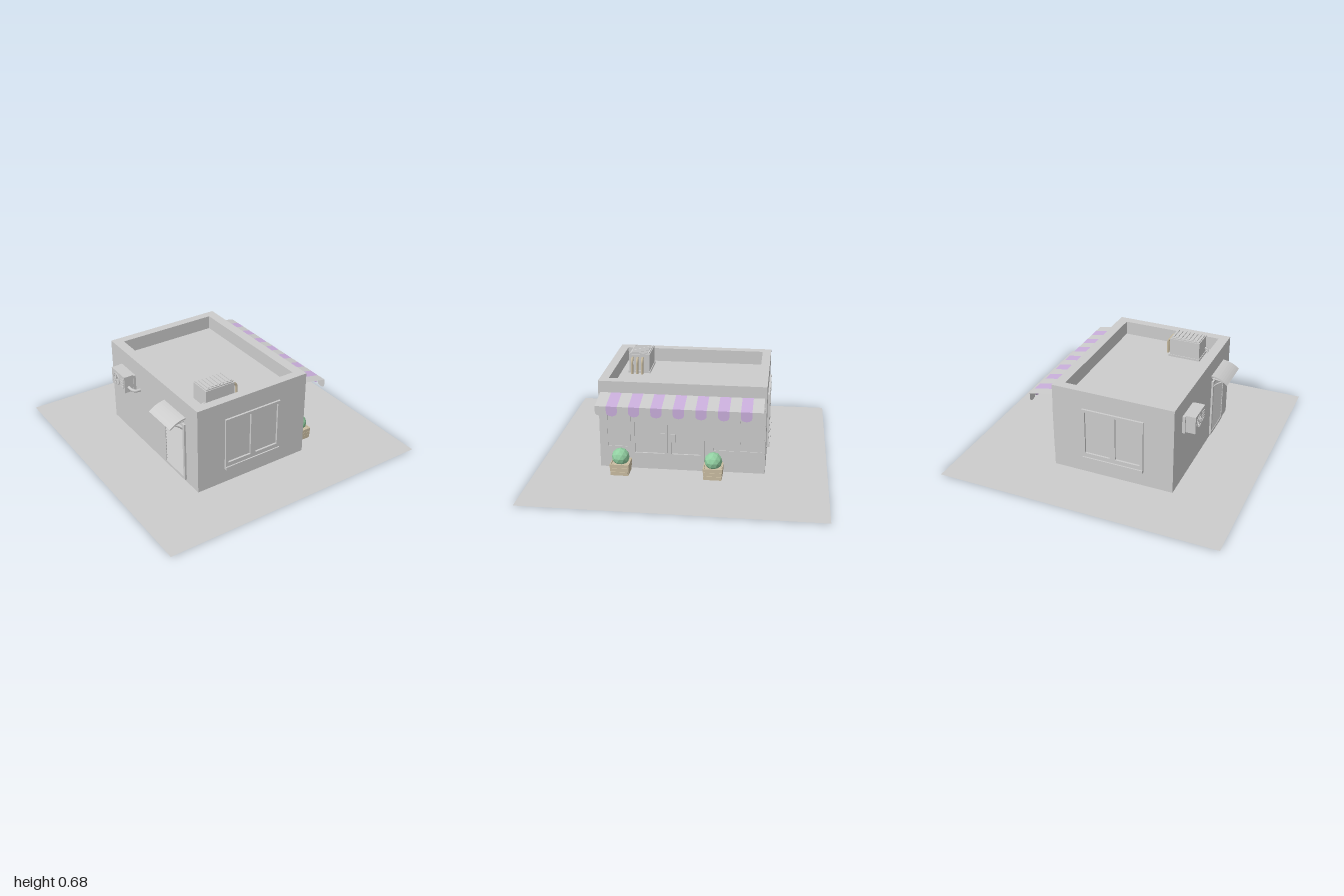
import * as THREE from 'three';

export function createModel() {
  const model = new THREE.Group();
  const mat = (name, color, side = THREE.FrontSide) => {
    const m = new THREE.MeshStandardMaterial({ color, side });
    m.name = name;
    return m;
  };
  const grey = mat('plaster grey', 0xcccccc, THREE.DoubleSide);
  const purple = mat('awning purple', 0xc9aedb, THREE.DoubleSide);
  const green = mat('leaf green', 0x92d0a2);
  green.flatShading = true;
  const tan = mat('planter tan', 0xcabda2);

  const add = (name, geo, m, parent = model) => {
    const mesh = new THREE.Mesh(geo, m);
    mesh.name = name;
    parent.add(mesh);
    return mesh;
  };
  // Box given by its limits on each axis
  const box = (name, m, [x0, x1], [y0, y1], [z0, z1], parent) => {
    const b = add(name, new THREE.BoxGeometry(x1 - x0, y1 - y0, z1 - z0), m, parent);
    b.position.set((x0 + x1) / 2, (y0 + y1) / 2, (z0 + z1) / 2);
    return b;
  };
  const rect = (T, u0, u1, v0, v1) => new T([
    new THREE.Vector2(u0, v0), new THREE.Vector2(u1, v0),
    new THREE.Vector2(u1, v1), new THREE.Vector2(u0, v1)]);
  // Flat frame with rectangular openings, extruded along +z
  const frameGeo = (outer, holes, depth) => {
    const s = rect(THREE.Shape, ...outer);
    holes.forEach(h => s.holes.push(rect(THREE.Path, ...h)));
    return new THREE.ExtrudeGeometry(s, { depth, bevelEnabled: false });
  };
  const tube = (name, pts, r, m, parent) => add(name, new THREE.TubeGeometry(
    new THREE.CatmullRomCurve3(pts.map(p => new THREE.Vector3(...p))), 12, r, 8), m, parent);

  // Ground
  add('ground', new THREE.PlaneGeometry(2, 2).rotateX(-Math.PI / 2), grey);

  // Building with sunken roof
  const X0 = -0.53, X1 = 0.34, Z = 0.572, H = 0.63, ROOF = 0.53;
  box('walls', grey, [X0, X1], [0.001, ROOF], [-Z, Z]);
  const parapet = frameGeo([X0, X1, -Z, Z], [[-0.46, 0.27, -0.51, 0.51]], H - ROOF);
  add('parapet', parapet.rotateX(-Math.PI / 2), grey).position.y = ROOF;

  // Side windows, one on each end wall
  for (const s of [1, -1]) {
    const win = new THREE.Group();
    win.name = s > 0 ? 'frontWindow' : 'backWindow';
    const geo = frameGeo([-0.22, 0.22, 0.13, 0.5],
      [[-0.2, -0.02, 0.16, 0.48], [0.02, 0.2, 0.16, 0.48]], 0.014);
    add('windowFrame', geo, grey, win);
    box('windowSill', grey, [-0.22, 0.22], [0.107, 0.13], [0, 0.023], win);
    win.position.set(-0.1, 0, s * Z);
    win.rotation.y = s > 0 ? 0 : Math.PI;
    model.add(win);
  }

  // Shop front: local x runs towards -z, local z points out of the wall
  const shop = new THREE.Group();
  shop.name = 'shopFront';
  shop.position.x = X1;
  shop.rotation.y = Math.PI / 2;
  model.add(shop);
  add('displayWindowLeft', frameGeo([-0.54, -0.355, 0.14, 0.48],
    [[-0.515, -0.38, 0.16, 0.46]], 0.006), grey, shop);
  add('displayWindowRight', frameGeo([0.2, 0.565, 0.14, 0.48],
    [[0.22, 0.36, 0.16, 0.46], [0.4, 0.55, 0.16, 0.46]], 0.006), grey, shop);
  add('doorLeft', frameGeo([-0.345, -0.097, 0.004, 0.48],
    [[-0.325, -0.12, 0.12, 0.46]], 0.012), grey, shop);
  add('doorRight', frameGeo([-0.093, 0.155, 0.004, 0.48],
    [[-0.07, 0.13, 0.12, 0.46]], 0.012), grey, shop);
  for (const u of [-0.13, -0.06])
    box('doorHandle', grey, [u - 0.016, u + 0.016], [0.21, 0.27], [0.01, 0.021], shop);

  // Striped awning with a scalloped valance
  const awning = new THREE.Group();
  awning.name = 'awning';
  model.add(awning);
  const N = 15, W = 1.116 / N, OUT = 0.18, TOP = 0.55, LIP = 0.515;
  const scallop = new THREE.Shape();
  scallop.moveTo(-W / 2, LIP);
  scallop.lineTo(-W / 2, 0.475);
  scallop.bezierCurveTo(-W / 2, 0.438, W / 2, 0.438, W / 2, 0.475);
  scallop.lineTo(W / 2, LIP);
  const valance = new THREE.ShapeGeometry(scallop, 8).rotateY(Math.PI / 2);
  const slope = new THREE.PlaneGeometry(Math.hypot(OUT, TOP - LIP), W)
    .rotateX(-Math.PI / 2).rotateZ(-Math.atan2(TOP - LIP, OUT));
  for (let i = 0; i < N; i++) {
    const m = i % 2 ? purple : grey, z = (i - (N - 1) / 2) * W;
    add('awningStripe', slope, m, awning).position.set(X1 + OUT / 2, (TOP + LIP) / 2, z);
    add('awningScallop', valance, m, awning).position.set(X1 + OUT, 0, z);
  }

  // Planters with clipped bushes
  for (const z of [0.412, -0.225]) {
    const p = new THREE.Group();
    p.name = 'planter';
    p.position.set(0.426, 0, z);
    model.add(p);
    add('planterCore', new THREE.CylinderGeometry(0.08, 0.074, 0.076, 4)
      .rotateY(Math.PI / 4), tan, p).position.y = 0.04;
    for (let i = 0; i < 3; i++) {
      const r = 0.058 + i * 0.002, y = 0.002 + i * 0.028;
      for (const s of [1, -1]) {
        box('planterSlat', tan, [-r, r], [y, y + 0.025], [s * r - 0.004, s * r + 0.004], p);
        box('planterSlat', tan, [s * r - 0.004, s * r + 0.004], [y, y + 0.025], [-r, r], p);
      }
    }
    add('bush', new THREE.IcosahedronGeometry(0.061, 1), green, p).position.y = 0.118;
  }

  // Rooftop unit with louvred top and bent pipes
  const unit = new THREE.Group();
  unit.name = 'roofUnit';
  model.add(unit);
  box('unitBase', grey, [-0.39, -0.155], [ROOF, ROOF + 0.015], [0.295, 0.455], unit);
  box('unitBody', grey, [-0.385, -0.162], [ROOF + 0.015, 0.668], [0.3, 0.45], unit);
  box('unitLid', grey, [-0.378, -0.169], [0.668, 0.676], [0.306, 0.444], unit);
  for (let i = 0; i < 7; i++) {
    const x = -0.36 + i * 0.029;
    box('unitLouvre', grey, [x, x + 0.014], [0.676, 0.682], [0.315, 0.435], unit);
  }
  for (const z of [0.35, 0.387, 0.424])
    tube('unitPipe', [[-0.17, 0.642, z], [-0.148, 0.642, z], [-0.133, 0.625, z],
      [-0.13, 0.59, z], [-0.13, ROOF, z]], 0.009, tan, unit);
  tube('unitDrain', [[-0.38, 0.575, 0.433], [-0.4, 0.573, 0.433],
    [-0.41, 0.56, 0.433], [-0.41, ROOF, 0.433]], 0.007, grey, unit);

  // Wall unit with fan ring and hose
  const ac = new THREE.Group();
  ac.name = 'wallUnit';
  model.add(ac);
  box('wallUnitBracket', grey, [-0.55, X0], [0.385, 0.51], [-0.425, -0.225], ac);
  box('wallUnitBody', grey, [-0.618, -0.545], [0.39, 0.515], [-0.413, -0.23], ac);
  const fan = new THREE.TorusGeometry(0.042, 0.005, 6, 20).rotateY(Math.PI / 2);
  add('fanRing', fan, grey, ac).position.set(-0.619, 0.452, -0.345);
  for (let i = 0; i < 4; i++) {
    const bar = box('fanBar', grey, [-0.623, -0.618], [0.41, 0.494], [-0.347, -0.343], ac);
    bar.rotation.x = i * Math.PI / 4;
  }
  for (let i = 0; i < 4; i++)
    box('wallUnitVent', grey, [-0.622, -0.618], [0.42 + i * 0.02, 0.43 + i * 0.02], [-0.285, -0.245], ac);
  tube('wallUnitHose', [[-0.585, 0.43, -0.235], [-0.583, 0.425, -0.2],
    [-0.565, 0.42, -0.175], [-0.525, 0.42, -0.168]], 0.011, grey, ac);

  // Louvred back door
  const door = new THREE.Group();
  door.name = 'backDoor';
  model.add(door);
  add('backDoorFrame', frameGeo([0.17, 0.43, 0.02, 0.46], [[0.19, 0.41, 0.04, 0.44]], 0.014)
    .rotateY(-Math.PI / 2), grey, door).position.x = X0;
  for (let i = 0; i < 16; i++) {
    const y = 0.042 + i * 0.025;
    const slat = box('backDoorSlat', grey, [-0.538, -0.534], [y, y + 0.024], [0.19, 0.41], door);
    slat.rotation.z = -0.35;
  }

  // Small curved canopy over the back door
  const canopy = new THREE.Group();
  canopy.name = 'backCanopy';
  model.add(canopy);
  const arch = new THREE.Shape();
  arch.moveTo(X0, 0.512);
  arch.quadraticCurveTo(-0.6, 0.505, -0.65, 0.462);
  arch.lineTo(-0.644, 0.455);
  arch.quadraticCurveTo(-0.597, 0.495, X0, 0.5);
  add('canopySheet', new THREE.ExtrudeGeometry(arch,
    { depth: 0.266, bevelEnabled: false, curveSegments: 8 }), grey, canopy).position.z = 0.165;
  for (const z of [0.185, 0.41]) {
    tube('canopyStrut', [[X0, 0.41, z], [-0.575, 0.45, z], [-0.62, 0.477, z]], 0.005, grey, canopy);
    tube('canopyRail', [[X0, 0.48, z], [-0.575, 0.475, z], [-0.635, 0.463, z]], 0.005, grey, canopy);
  }
  return model;
}
